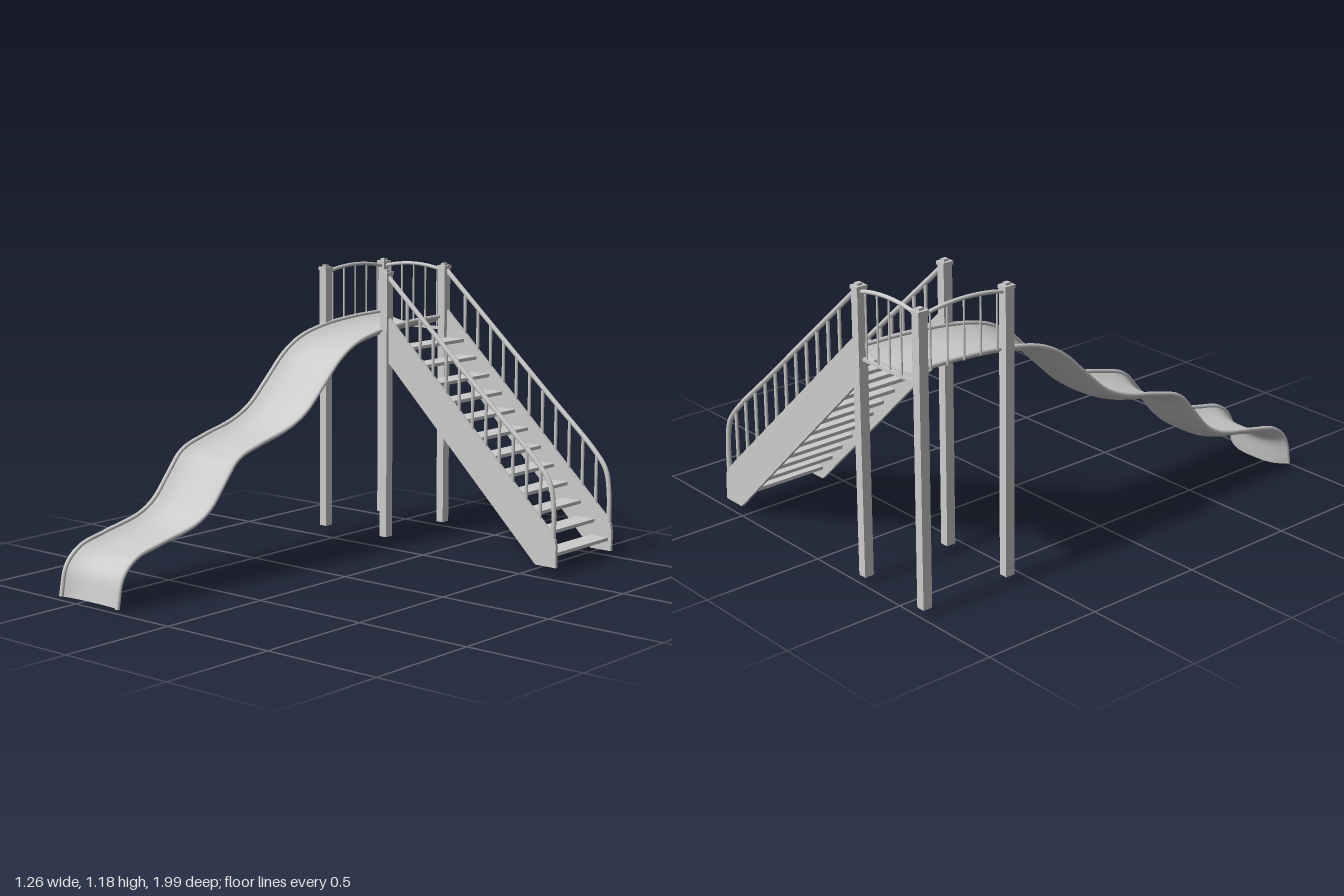
import * as THREE from 'three';
import { toCreasedNormals } from 'three/addons/utils/BufferGeometryUtils.js';

const V = (x, y, z) => new THREE.Vector3(x, y, z);
const grey = new THREE.MeshStandardMaterial({ color: 0xcccccc });
const LEFT = -0.611, RIGHT = -0.269, FRONT = -0.58, BACK = -0.973; // post centres
const MID = (LEFT + RIGHT) / 2;

function add(parent, name, geometry, x = 0, y = 0, z = 0) {
  const mesh = new THREE.Mesh(geometry, grey);
  mesh.name = name;
  mesh.position.set(x, y, z);
  parent.add(mesh);
  return mesh;
}

function group(parent, name) {
  const g = new THREE.Group();
  g.name = name;
  parent.add(g);
  return g;
}

// Upright round bar between two heights
function baluster(parent, x, z, y0, y1, r) {
  add(parent, 'baluster', new THREE.CylinderGeometry(r, r, y1 - y0, 8), x, (y0 + y1) / 2, z);
}

// Round bar along a curve, closed at both ends
function bar(parent, name, curve, segments, r) {
  add(parent, name, new THREE.TubeGeometry(curve, segments, r, 10));
  for (const t of [0, 1]) {
    const p = curve.getPointAt(t);
    const dir = curve.getTangentAt(t).multiplyScalar(t ? 1 : -1);
    const cap = add(parent, name + 'End', new THREE.CircleGeometry(r, 10), p.x, p.y, p.z);
    cap.quaternion.setFromUnitVectors(V(0, 0, 1), dir);
  }
}

// Square posts with stepped caps
function buildPosts(root) {
  const posts = group(root, 'posts');
  for (const x of [LEFT, RIGHT]) for (const z of [FRONT, BACK]) {
    add(posts, 'post', new THREE.BoxGeometry(0.036, 1.13, 0.04), x, 0.58, z);
    add(posts, 'postCap', new THREE.BoxGeometry(0.042, 0.014, 0.047), x, 1.148, z);
    add(posts, 'postKnob', new THREE.BoxGeometry(0.02, 0.01, 0.022), x, 1.159, z);
  }
}

// Wavy trough; its upper end forms the platform
function buildSlide(root) {
  const slide = group(root, 'slide');
  const path = new THREE.CatmullRomCurve3([
    [-0.965, 0.94], [-0.76, 0.935], [-0.553, 0.916], [-0.393, 0.878], [-0.286, 0.818],
    [-0.18, 0.72], [-0.07, 0.622], [0.035, 0.572], [0.195, 0.532], [0.329, 0.486],
    [0.409, 0.4], [0.489, 0.31], [0.57, 0.264], [0.757, 0.222], [0.89, 0.187],
    [0.965, 0.12], [0.995, 0],
  ].map(([z, y]) => V(MID, y, z)));
  const N = 96, M = 20, half = 0.157, rim = 0.009;
  const offset = (t, x, d) => {
    const p = path.getPointAt(t), n = path.getTangentAt(t);
    return V(p.x + x, p.y + n.z * d, p.z - n.y * d);
  };

  // Closed cross-section: upper skin left to right, lower skin back again
  const section = [];
  for (const [sign, drop] of [[1, 0], [-1, 0.009]]) {
    for (let j = 0; j <= M; j++) {
      const u = sign * (2 * j / M - 1);
      section.push([u * half, -rim - 0.037 * (1 - Math.abs(u) ** 3) - drop]);
    }
  }
  const K = section.length, pos = [], idx = [];
  for (let i = 0; i <= N; i++) for (const [x, d] of section) pos.push(...offset(i / N, x, d).toArray());
  for (let i = 0; i < N; i++) for (let j = 0; j < K; j++) {
    const a = i * K + j, b = a + K, c = i * K + (j + 1) % K, d = c + K;
    idx.push(a, b, c, b, d, c);
  }
  for (let j = 0; j < M; j++) { // end strips
    const a = j, b = j + 1, c = K - 1 - j, d = K - 2 - j, e = N * K;
    idx.push(a, b, c, b, d, c, e + a, e + c, e + b, e + b, e + c, e + d);
  }
  const geo = new THREE.BufferGeometry();
  geo.setAttribute('position', new THREE.Float32BufferAttribute(pos, 3));
  geo.setIndex(idx);
  add(slide, 'trough', toCreasedNormals(geo, 0.7));

  for (const s of [-1, 1]) {
    const pts = [];
    for (let i = 0; i <= 48; i++) pts.push(offset(i / 48, s * half, -rim));
    bar(slide, 'rim', new THREE.CatmullRomCurve3(pts), N, rim);
  }
}

// Arched guard rails on the outer side and the back of the platform
function buildGuards(root) {
  const sides = [
    ['sideGuard', V(LEFT, 0, FRONT), V(LEFT, 0, BACK), 0.92],
    ['backGuard', V(LEFT, 0, BACK), V(RIGHT, 0, BACK), 0.88],
  ];
  for (const [name, a, b, base] of sides) {
    const g = group(root, name);
    const at = (t) => a.clone().lerp(b, t).setY(1.13 + 0.088 * t * (1 - t));
    const pts = [0, 0.2, 0.4, 0.6, 0.8, 1].map(at);
    bar(g, 'archRail', new THREE.CatmullRomCurve3(pts), 24, 0.008);
    for (let i = 0; i < 5; i++) {
      const p = at(0.5 + (i - 2) * 0.193);
      baluster(g, p.x, p.z, base, p.y, 0.004);
    }
  }
  // Sill carrying the bars below the raised edge
  add(root, 'backSill', new THREE.BoxGeometry(RIGHT - LEFT, 0.012, 0.012), MID, 0.878, BACK + 0.002);
}

// Straight stair with solid stringers and handrails
function buildStairs(root) {
  const stairs = group(root, 'stairs');
  const shape = new THREE.Shape([
    [-0.262, 0.97], [0.605, 0.155], [0.62, 0.13], [0.626, 0.1], [0.626, 0.015],
    [0.525, 0.015], [-0.262, 0.78],
  ].map(([x, y]) => new THREE.Vector2(x, y)));
  const stringerTop = (x) => 0.97 - 0.94 * (x + 0.262);
  const railY = (x) => 1.125 - 0.89 * (x + 0.25);
  const step = 0.0697, first = -0.156;

  for (const z of [FRONT, BACK - 0.005]) {
    const side = group(stairs, z === FRONT ? 'frontStairSide' : 'backStairSide');
    const stringer = new THREE.ExtrudeGeometry(shape, { depth: 0.014, bevelEnabled: false });
    add(side, 'stringer', stringer, 0, 0, z - 0.007);
    const rail = new THREE.CatmullRomCurve3([
      V(-0.262, railY(-0.262), z), V(0, railY(0), z), V(0.3, railY(0.3), z),
      V(0.53, railY(0.53), z), V(0.588, 0.358, z), V(0.607, 0.26, z), V(0.609, 0.135, z),
    ], false, 'centripetal');
    bar(side, 'handrail', rail, 60, 0.0105);
    for (let i = 0; i < 11; i++) {
      const x = first + i * step;
      baluster(side, x, z, stringerTop(x) - 0.01, railY(x), 0.007);
    }
  }
  const depth = FRONT - BACK;
  for (let i = 0; i < 12; i++) {
    const tread = new THREE.BoxGeometry(0.09, 0.014, depth);
    add(stairs, 'tread', tread, first + i * step - 0.045, 0.834 - i * 0.07, (FRONT + BACK) / 2);
  }
}

export function createModel() {
  const root = new THREE.Group();
  root.name = 'playgroundSlide';
  buildPosts(root);
  buildSlide(root);
  buildGuards(root);
  buildStairs(root);
  return root;
}
